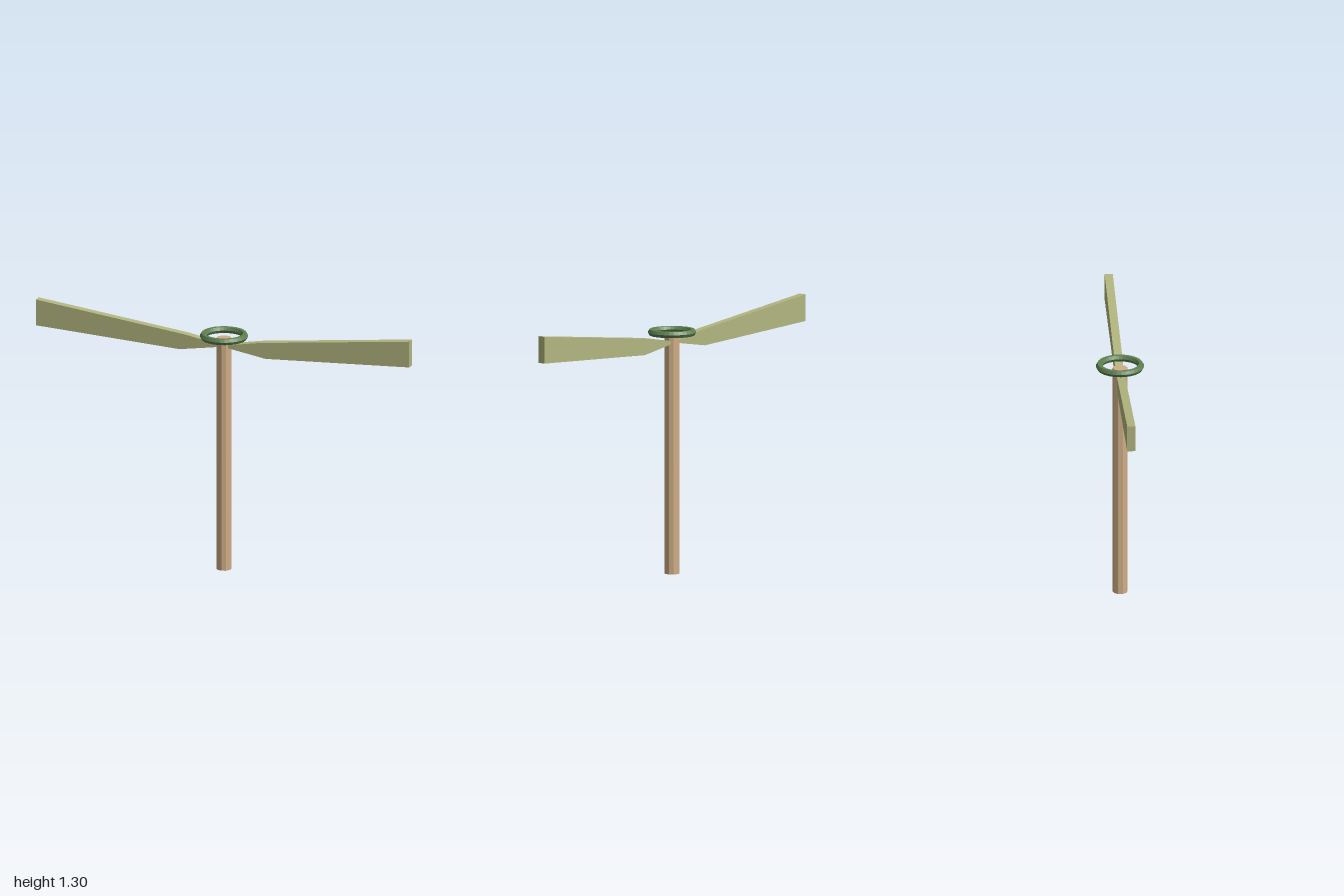
import * as THREE from 'three';

const STEM_COLOR = 0xcfae86;
const BLADE_COLOR = 0xb2b67f;
const RING_COLOR = 0x5f8050;

function addPart(group, name, geometry, color) {
  const material = new THREE.MeshStandardMaterial({ color, flatShading: true });
  const mesh = new THREE.Mesh(geometry, material);
  mesh.name = name;
  group.add(mesh);
  return mesh;
}

// Flat plate cut from a side outline; side is +1 (left) or -1 (right)
function bladeGeometry(side) {
  const outline = [[0, 1.168], [0.23, 1.13], [1, 1.17], [1, 1.305], [0.2, 1.21], [0, 1.174]];
  const shape = new THREE.Shape(outline.map(([x, y]) => new THREE.Vector2(side * x, y)));
  const depth = 0.041;
  return new THREE.ExtrudeGeometry(shape, { depth, bevelEnabled: false }).translate(0, 0, -depth / 2);
}

export function createModel() {
  const model = new THREE.Group();
  model.name = 'handPropeller';

  // Ten-sided stem
  const stemHeight = 1.21;
  const stem = new THREE.CylinderGeometry(0.038, 0.038, stemHeight, 10);
  addPart(model, 'stem', stem.translate(0, stemHeight / 2, 0), STEM_COLOR);

  // Blades, narrowing to the stem and rising to the tips
  addPart(model, 'leftBlade', bladeGeometry(1), BLADE_COLOR);
  addPart(model, 'rightBlade', bladeGeometry(-1), BLADE_COLOR);

  // Ring around the top of the stem, hexagonal in section
  const ring = new THREE.TorusGeometry(0.104, 0.0175, 6, 32).rotateX(Math.PI / 2);
  addPart(model, 'topRing', ring.translate(0, 1.22, 0), RING_COLOR);

  return model;
}
